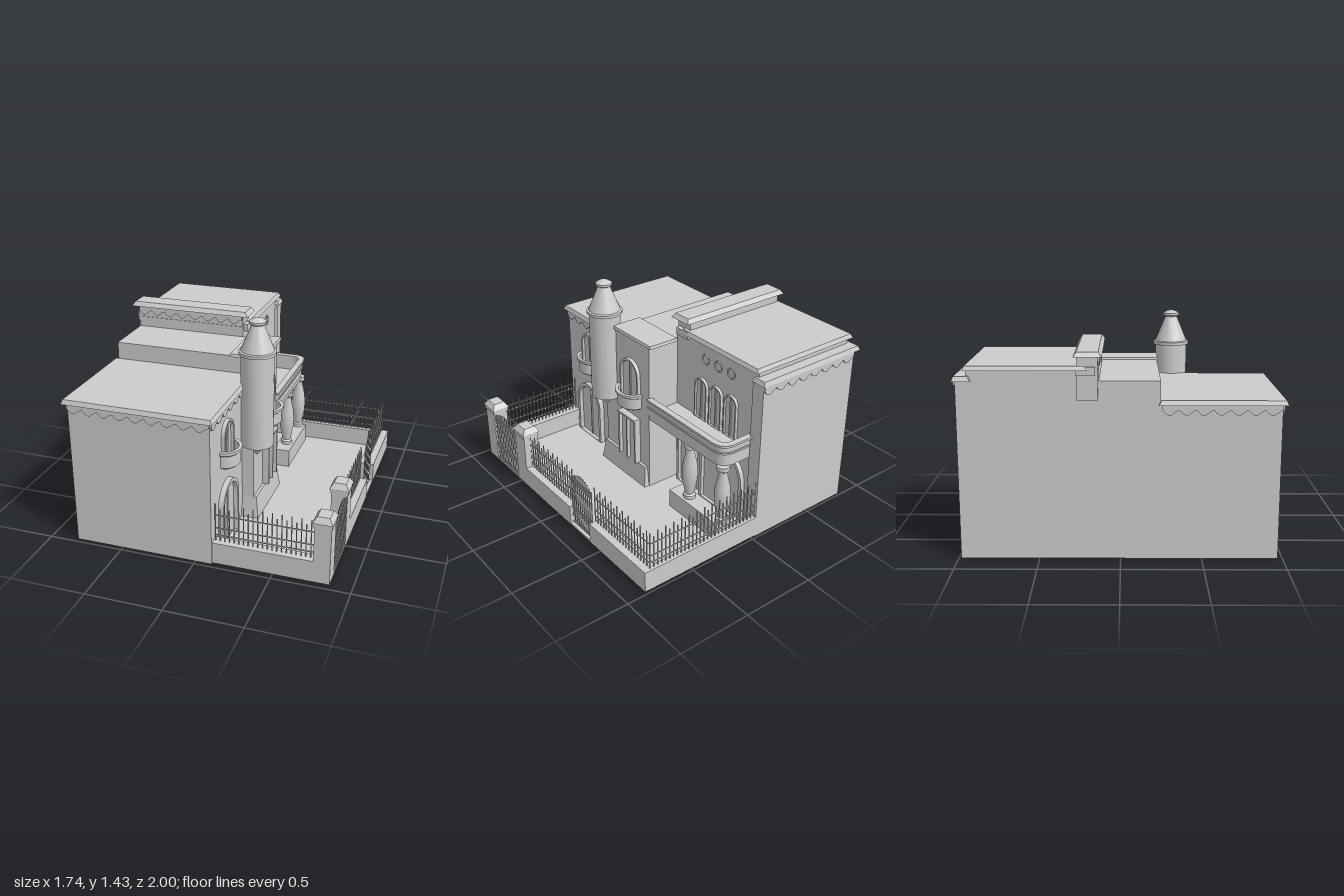
import * as THREE from 'three';
import { mergeGeometries, toCreasedNormals } from 'three/addons/utils/BufferGeometryUtils.js';

const mat = new THREE.MeshStandardMaterial({ color: 0xcccccc, side: THREE.DoubleSide });

function add(parent, name, geo) {
  const m = new THREE.Mesh(geo, mat);
  m.name = name;
  parent.add(m);
  return m;
}

// Box given by its limits; "open" lists removed faces (0 +x, 1 -x, 2 +y, 3 -y, 4 +z, 5 -z)
function box(x0, x1, y0, y1, z0, z1, open = []) {
  const g = new THREE.BoxGeometry(x1 - x0, y1 - y0, z1 - z0);
  g.translate((x0 + x1) / 2, (y0 + y1) / 2, (z0 + z1) / 2);
  if (open.length) {
    const idx = Array.from(g.index.array).filter((v, i) => !open.includes(Math.floor(i / 6)));
    g.setIndex(idx);
    g.clearGroups();
  }
  return g;
}

// Slab whose top edge is bevelled inwards by t
function slab(x0, x1, y0, y1, z0, z1, t = 0.012) {
  const g = box(x0, x1, y0, y1, z0, z1), p = g.attributes.position;
  const cx = (x0 + x1) / 2, cz = (z0 + z1) / 2, cy = (y0 + y1) / 2;
  for (let i = 0; i < p.count; i++) if (p.getY(i) > cy) {
    p.setX(i, p.getX(i) - Math.sign(p.getX(i) - cx) * t);
    p.setZ(i, p.getZ(i) - Math.sign(p.getZ(i) - cz) * t);
  }
  g.computeVertexNormals();
  return g;
}

// Wavy trim hanging below a cornice, running along +x from the origin
function scallop(len, n) {
  const s = new THREE.Shape();
  s.moveTo(0, 0);
  s.lineTo(0, -0.035);
  const w = len / n;
  for (let i = 0; i < n; i++) {
    s.quadraticCurveTo((i + 0.2) * w, -0.07, (i + 0.5) * w, -0.068);
    s.quadraticCurveTo((i + 0.8) * w, -0.04, (i + 1) * w, -0.035);
  }
  s.lineTo(len, 0);
  return new THREE.ExtrudeGeometry(s, { depth: 0.012, bevelEnabled: false, curveSegments: 4 });
}

function archPath(P, w, y0, y1) {
  const p = new P(), r = w / 2;
  p.moveTo(-r, y0);
  p.lineTo(r, y0);
  p.lineTo(r, y1 - r);
  p.absarc(0, y1 - r, r, 0, Math.PI, false);
  p.lineTo(-r, y0);
  return p;
}

// Arched opening on a wall that faces +x: raised surround, pane and centre bar
function arch(parent, name, x, z, w, y0, y1, rim = 0.015, depth = 0.025, bar = true) {
  const g = new THREE.Group();
  g.name = name;
  const s = archPath(THREE.Shape, w, y0, y1);
  s.holes.push(archPath(THREE.Path, w - 2 * rim, y0 + 0.004, y1 - rim));
  add(g, 'surround', new THREE.ExtrudeGeometry(s, { depth, bevelEnabled: false, curveSegments: 12 }));
  const pane = archPath(THREE.Shape, w - 2 * rim, y0, y1 - rim);
  add(g, 'pane', new THREE.ExtrudeGeometry(pane, { depth: 0.006, bevelEnabled: false, curveSegments: 12 }));
  if (bar) add(g, 'centreBar', box(-0.006, 0.006, y0, y1 - rim, 0, 0.014));
  g.rotation.y = Math.PI / 2;
  g.position.set(x, 0, z);
  parent.add(g);
}

function lathe(pts, seg, half = false) {
  const g = new THREE.LatheGeometry(pts.map(p => new THREE.Vector2(...p)), seg, 0, half ? Math.PI : 2 * Math.PI);
  return toCreasedNormals(g, 0.6);
}

// Half-round balcony with a pointed underside
function roundBalcony(parent, x, z, y, r) {
  const m = add(parent, 'roundBalcony', lathe([[0, -0.055], [r * 0.3, -0.02], [r * 0.85, 0], [r * 0.95, 0.01], [r * 0.95, 0.09],
    [r * 1.08, 0.1], [r * 1.08, 0.118], [r * 0.85, 0.118], [r * 0.85, 0.02], [0, 0.02]], 20, true));
  m.position.set(x, y, z);
  m.scale.x = 0.85;
}

// Railing along +x from the origin: uneven bars and level rails, optionally arched on top
function railing(len, y0, y1, step, rails, bow = 0, rings = []) {
  const parts = [], t = 0.003, n = Math.round(len / step);
  for (let i = 0; i <= n; i++) {
    const u = i / n, x = u * len;
    const top = bow ? y1 + bow * Math.sin(Math.PI * u) : y1 - (i % 2) * 0.035;
    parts.push(box(x - t, x + t, y0, top, -t, t));
  }
  for (const y of rails) parts.push(box(0, len, y - t, y + t, -t, t));
  for (const y of rings) for (let i = 0; i < n; i++) {
    parts.push(new THREE.TorusGeometry(0.01, 0.003, 4, 8).translate((i + 0.5) * len / n, y, 0));
  }
  return mergeGeometries(parts);
}

// Places a strip built along +x so that it starts at (x, z) and is turned by angle
function place(m, x, y, z, angle) {
  m.position.set(x, y, z);
  m.rotation.y = angle;
}

function createModel() {
  const model = new THREE.Group();
  model.name = 'villa';
  const Q = Math.PI / 2;

  // Main volumes, open at the bottom
  add(model, 'frontBlock', box(-0.82, 0.11, 0, 0.975, 0.24, 0.97, [3, 5]));
  add(model, 'middleBlock', box(-0.82, 0.19, 0, 1.115, -0.13, 0.24, [3, 4, 5]));
  add(model, 'middleRiser', box(-0.82, 0.19, 0.96, 1.115, 0.22, 0.24));
  add(model, 'middleBackWall', box(-0.05, 0.19, 0, 1.115, -0.135, -0.125));
  add(model, 'backBlock', box(-0.82, -0.05, 0, 1.185, -0.9, -0.13, [3, 4, 5]));
  add(model, 'backWing', box(-0.82, -0.03, 0, 1.12, -0.985, -0.89, [3, 4]));
  add(model, 'backRiser', box(-0.82, -0.05, 1.1, 1.185, -0.92, -0.9));
  add(model, 'cornerPier', box(0.1, 0.19, 0, 0.6, 0.24, 0.37, [3]));
  add(model, 'wallPlinth', slab(0.1, 0.23, 0.01, 0.17, -0.13, 0.39, 0.02));

  // Roofs and cornices
  add(model, 'frontRoof', slab(-0.85, 0.135, 0.97, 1.0, 0.23, 1.0));
  add(model, 'middleRoofTrim', slab(-0.02, 0.21, 1.11, 1.13, -0.175, 0.25, 0.005));
  add(model, 'backRoof', slab(-0.855, -0.02, 1.18, 1.207, -0.935, -0.2));
  add(model, 'backCornice', slab(-0.86, -0.02, 1.115, 1.145, -1.0, -0.89));
  add(model, 'parapetWall', box(-0.83, -0.055, 1.0, 1.26, -0.26, -0.135));
  add(model, 'parapetLedge', box(-0.845, -0.025, 1.15, 1.2, -0.265, -0.15));
  add(model, 'parapetCap', slab(-0.87, -0.015, 1.262, 1.292, -0.28, -0.11, 0.02));

  // Wavy trims under the cornices
  place(add(model, 'frontTrim', scallop(0.93, 9)), -0.82, 0.975, 0.97, 0);
  place(add(model, 'rightTrim', scallop(0.72, 7)), 0.11, 0.975, 0.97, Q);
  place(add(model, 'leftTrim', scallop(0.72, 7)), -0.82, 0.975, 0.25, -Q);
  place(add(model, 'parapetTrim', scallop(0.76, 8)), -0.82, 1.27, -0.135, 0);
  place(add(model, 'backTrim', scallop(0.78, 8)), -0.03, 1.12, -0.985, Math.PI);

  // Corner turret
  add(model, 'turret', lathe([[0, 0.48], [0.065, 0.56], [0.108, 0.565], [0.108, 1.195], [0.122, 1.195], [0.122, 1.215],
    [0.108, 1.22], [0.04, 1.385], [0.055, 1.395], [0.055, 1.41], [0.03, 1.425], [0, 1.432]], 28)).position.set(0.205, 0, 0.345);

  // Doors, windows and round balconies
  arch(model, 'entranceArch', 0.11, 0.69, 0.3, 0.02, 0.46, 0.025, 0.035);
  arch(model, 'frontWindow', 0.11, 0.685, 0.175, 0.6, 0.875);
  arch(model, 'middleWindow', 0.19, 0.065, 0.205, 0.62, 0.95);
  roundBalcony(model, 0.11, 0.685, 0.575, 0.11);
  roundBalcony(model, 0.19, 0.065, 0.6, 0.118);
  arch(model, 'largeArch', -0.05, -0.63, 0.42, 0.02, 0.53, 0.025, 0.03);
  arch(model, 'smallArch', -0.05, -0.27, 0.19, 0.02, 0.47, 0.02, 0.03);
  for (const z of [-0.4, -0.545, -0.69]) {
    arch(model, 'upperWindow', -0.05, z, 0.12, 0.62, 0.92, 0.01, 0.02);
    const zr = z - 0.005 + (z + 0.545) * -0.15;
    const ring = add(model, 'roundWindow', new THREE.TorusGeometry(0.033, 0.006, 6, 20));
    place(ring, -0.05, 1.065, zr, Q);
  }
  const door = new THREE.Group();
  door.name = 'middleDoor';
  for (const [z0, z1] of [[-0.03, -0.015], [0.155, 0.17], [0.064, 0.076]]) add(door, 'jamb', box(0.18, 0.235, 0.17, 0.52, z0, z1));
  add(door, 'lintel', box(0.18, 0.24, 0.505, 0.52, -0.03, 0.17));
  add(door, 'leaf', box(0.18, 0.21, 0.17, 0.51, -0.02, 0.16));
  model.add(door);

  // Long balcony with a rounded rear corner
  const plan = (o, P) => {
    const p = new P();
    p.moveTo(-0.05, 0.13);
    p.lineTo(0.2 - o, 0.13);
    p.lineTo(0.2 - o, 0.8);
    p.quadraticCurveTo(0.2 - o, 0.9 - o, 0.1, 0.9 - o);
    p.lineTo(-0.05, 0.9 - o);
    return p;
  };
  const layer = (name, shape, y, h) => add(model, name,
    new THREE.ExtrudeGeometry(shape, { depth: h, bevelEnabled: false }).rotateX(-Q)).position.y = y;
  const rimShape = (outer, inner) => {
    const s = plan(outer, THREE.Shape);
    plan(inner, THREE.Path).getPoints().reverse().forEach(v => s.lineTo(v.x, v.y));
    return s;
  };
  layer('balconyFloor', plan(0.012, THREE.Shape), 0.565, 0.05);
  layer('balconyParapet', rimShape(0.008, 0.03), 0.6, 0.115);
  layer('balconyBand', rimShape(0, 0.02), 0.655, 0.012);
  layer('balconyRail', rimShape(-0.008, 0.035), 0.71, 0.016);

  // Bulging columns on their plinth
  add(model, 'columnPlinth', box(0.1, 0.22, 0.01, 0.15, -0.89, -0.4));
  for (const z of [-0.54, -0.865]) add(model, 'column', lathe([[0, 0.15], [0.042, 0.15], [0.042, 0.175], [0.03, 0.185],
    [0.05, 0.28], [0.054, 0.35], [0.048, 0.42], [0.03, 0.5], [0.03, 0.53], [0.043, 0.54], [0.043, 0.57], [0, 0.57]], 16)).position.set(0.16, 0, z);

  // Yard floor and low walls
  add(model, 'yardFloor', box(0.11, 0.86, 0.006, 0.02, -0.13, 0.96));
  add(model, 'rearYardFloor', box(-0.05, 0.86, 0.006, 0.02, -0.985, -0.13));
  add(model, 'frontYardWall', box(0.11, 0.8, 0.005, 0.15, 0.88, 0.96));
  add(model, 'backYardWall', box(-0.03, 0.86, 0.005, 0.15, -0.985, -0.945));
  add(model, 'rightYardWall', box(0.8, 0.86, 0.005, 0.15, -0.155, 0.42));
  add(model, 'rearRightYardWall', box(0.76, 0.86, 0.005, 0.15, -0.985, -0.385));

  // Gate posts with caps
  for (const z of [0.47, 0.9]) {
    add(model, 'gatePost', box(0.755, 0.86, 0.005, 0.41, z - 0.06, z + 0.06));
    add(model, 'postCollar', box(0.75, 0.865, 0.39, 0.42, z - 0.066, z + 0.066));
    add(model, 'postCap', slab(0.743, 0.87, 0.42, 0.458, z - 0.073, z + 0.073, 0.025));
  }

  // Railings and gates
  const rails = [0.19, 0.24, 0.33];
  place(add(model, 'frontRailing', railing(0.64, 0.15, 0.41, 0.03, rails)), 0.12, 0, 0.92, 0);
  place(add(model, 'backRailing', railing(0.84, 0.15, 0.41, 0.03, rails)), -0.03, 0, -0.965, 0);
  place(add(model, 'rightRailing', railing(0.56, 0.15, 0.41, 0.03, rails)), 0.81, 0, 0.41, Q);
  place(add(model, 'rearRightRailing', railing(0.58, 0.15, 0.41, 0.03, rails)), 0.81, 0, -0.385, Q);
  const gateRails = [0.03, 0.12, 0.155, 0.29, 0.34, 0.375];
  place(add(model, 'mainGate', railing(0.3, 0.02, 0.38, 0.025, gateRails, 0.05, [0.138, 0.358])), 0.855, 0, 0.84, Q);
  place(add(model, 'sideGate', railing(0.23, 0.02, 0.385, 0.023, gateRails, 0.05, [0.138, 0.358])), 0.835, 0, -0.155, Q);

  return model;
}

export { createModel };
